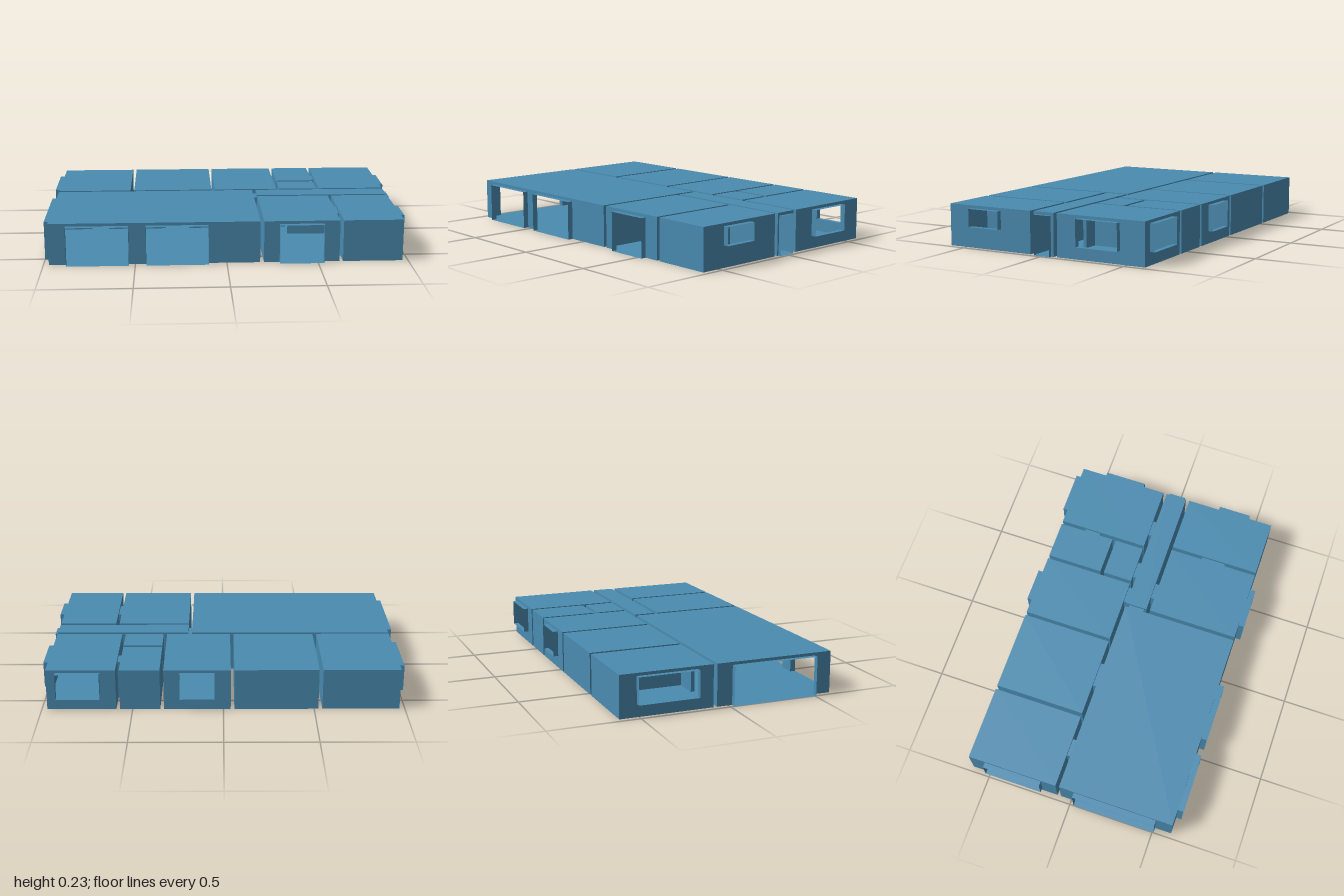
import * as THREE from 'three';

const H = 0.233;    // room height
const TOP = 0.217;  // head height of every opening

// Rooms as hollow shells: name, x0, x1, z0, z1
const ROOMS = [
  ['bedroomLeft', -0.97, -0.545, -0.607, -0.086],
  ['bedroomMiddle', -0.523, -0.06, -0.607, -0.086],
  ['bedroomSmall', -0.04, 0.328, -0.607, -0.086],
  ['bathroom', 0.348, 0.57, -0.607, -0.28],
  ['closet', 0.348, 0.57, -0.259, -0.086],
  ['bedroomRight', 0.59, 0.97, -0.607, -0.086],
  ['livingRoom', -0.97, 0.183, -0.065, 0.605],
  ['corridor', 0.204, 0.97, -0.065, 0.059],
  ['kitchen', 0.204, 0.62, 0.081, 0.605],
  ['utilityRoom', 0.64, 0.97, 0.081, 0.605],
];

// Tunnels through the walls: name, axis, start, end along axis, u0, u1 across, sill height
const OPENINGS = [
  ['doorBedroomLeft', 'z', -0.086, -0.065, -0.78, -0.68, 0],
  ['doorBedroomMiddle', 'z', -0.086, -0.065, -0.34, -0.197, 0],
  ['doorBedroomSmall', 'z', -0.086, -0.065, 0.214, 0.31, 0],
  ['doorCloset', 'z', -0.086, -0.065, 0.385, 0.482, 0],
  ['doorBedroomRight', 'z', -0.086, -0.065, 0.677, 0.773, 0],
  ['doorKitchen', 'z', 0.059, 0.081, 0.288, 0.384, 0],
  ['doorBathroom', 'x', 0.57, 0.59, -0.46, -0.365, 0],
  ['doorCorridor', 'x', 0.183, 0.204, -0.046, 0.046, 0],
  ['doorUtility', 'x', 0.62, 0.64, 0.27, 0.412, 0],
  ['entranceDoor', 'x', 0.97, 0.987, -0.048, 0.048, 0],
  ['frontDoorLeft', 'z', 0.605, 0.636, -0.875, -0.535, 0],
  ['frontDoorMiddle', 'z', 0.605, 0.636, -0.44, -0.1, 0],
  ['frontDoorKitchen', 'z', 0.605, 0.636, 0.29, 0.532, 0],
  ['sideDoorLiving', 'x', -0.97, -1, 0.022, 0.508, 0],
  ['windowBedroomLeft', 'x', -0.97, -1, -0.512, -0.175, 0.07],
  ['windowBedroomSmall', 'z', -0.607, -0.636, 0.048, 0.24, 0.07],
  ['windowBedroomRightBack', 'z', -0.607, -0.636, 0.677, 0.918, 0.07],
  ['windowBedroomRightSide', 'x', 0.97, 1, -0.462, -0.217, 0.07],
  ['windowUtility', 'x', 0.97, 1, 0.27, 0.462, 0.118],
];

export function createModel() {
  const blue = new THREE.MeshStandardMaterial({ color: 0x4a8bb0, side: THREE.DoubleSide });
  blue.name = 'steelBlue';
  const model = new THREE.Group();
  model.name = 'floorPlan';

  // Flat rectangle on the plane axis = pos, facing along sign.
  // (u, v) is (z, y) for axis x, (x, y) for axis z and (x, z) for axis y.
  function panel(parent, name, axis, pos, sign, u0, u1, v0, v1) {
    if (u1 - u0 < 1e-4 || v1 - v0 < 1e-4) return;
    const mesh = new THREE.Mesh(new THREE.PlaneGeometry(u1 - u0, v1 - v0), blue);
    const u = (u0 + u1) / 2, v = (v0 + v1) / 2;
    if (axis === 'x') {
      mesh.rotation.y = sign * Math.PI / 2;
      mesh.position.set(pos, v, u);
    } else if (axis === 'z') {
      mesh.rotation.y = sign > 0 ? 0 : Math.PI;
      mesh.position.set(u, v, pos);
    } else {
      mesh.rotation.x = -sign * Math.PI / 2;
      mesh.position.set(u, pos, v);
    }
    mesh.name = name;
    parent.add(mesh);
  }

  // Wall split around every opening that meets it
  function wall(parent, axis, pos, sign, u0, u1) {
    const cuts = OPENINGS
      .filter(([, a, p0, p1, c0, c1]) => a === axis && (p0 === pos || p1 === pos) && c0 >= u0 && c1 <= u1)
      .sort((a, b) => a[4] - b[4]);
    let start = u0;
    for (const [, , , , c0, c1, sill] of cuts) {
      panel(parent, 'wall', axis, pos, sign, start, c0, 0, H);
      panel(parent, 'wallBelowOpening', axis, pos, sign, c0, c1, 0, sill);
      panel(parent, 'lintel', axis, pos, sign, c0, c1, TOP, H);
      start = c1;
    }
    panel(parent, 'wall', axis, pos, sign, start, u1, 0, H);
  }

  // Room shells
  for (const [name, x0, x1, z0, z1] of ROOMS) {
    const room = new THREE.Group();
    room.name = name;
    panel(room, 'floor', 'y', 0, -1, x0, x1, z0, z1);
    panel(room, 'ceiling', 'y', H, 1, x0, x1, z0, z1);
    wall(room, 'x', x0, -1, z0, z1);
    wall(room, 'x', x1, 1, z0, z1);
    wall(room, 'z', z0, -1, x0, x1);
    wall(room, 'z', z1, 1, x0, x1);
    model.add(room);
  }

  // Open-ended door and window tunnels
  for (const [name, axis, p, q, u0, u1, sill] of OPENINGS) {
    const tunnel = new THREE.Group();
    tunnel.name = name;
    const p0 = Math.min(p, q), p1 = Math.max(p, q);
    const across = axis === 'x' ? 'z' : 'x';
    const flat = axis === 'x' ? [p0, p1, u0, u1] : [u0, u1, p0, p1];
    panel(tunnel, 'sill', 'y', sill, -1, ...flat);
    panel(tunnel, 'head', 'y', TOP, 1, ...flat);
    panel(tunnel, 'jamb', across, u0, -1, p0, p1, sill, TOP);
    panel(tunnel, 'jamb', across, u1, 1, p0, p1, sill, TOP);
    model.add(tunnel);
  }
  return model;
}
